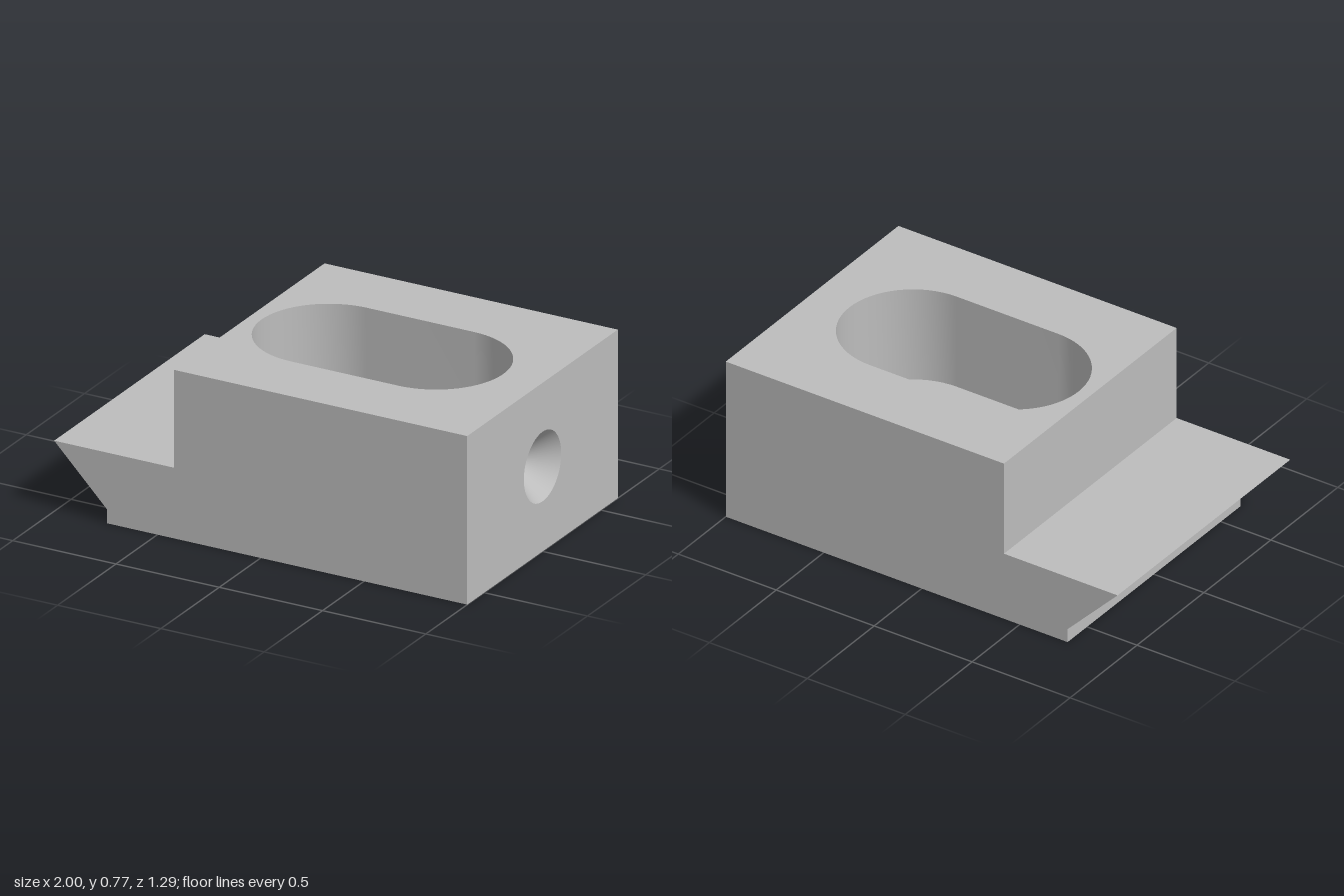
import * as THREE from 'three';

const HALF_Z = 0.645, TOP = 0.775, LEDGE = 0.325, BASE = 0.065;
const SLOT_X = 0.225, SLOT_HALF = 0.26; // slot centre and half distance between its arcs
const R_WIDE = 0.325, R_NARROW = 0.18;
const CONE_R = 0.16, CONE_Y = 0.39, CONE_DEPTH = 0.188;

// Left outline of the block, from the foot up to the top edge
const outline = [[-0.745, 0], [-0.745, BASE], [-1, LEDGE], [-0.42, LEDGE], [-0.42, TOP]];

const v2 = (x, y) => new THREE.Vector2(x, y);
const v3 = (x, y, z) => new THREE.Vector3(x, y, z);

// Counter-clockwise obround; the seam lies on a straight side
function slotPoints(r) {
  const pts = [v2(SLOT_X, -r)], n = 32;
  for (const [side, start] of [[1, -Math.PI / 2], [-1, Math.PI / 2]]) {
    for (let i = 0; i <= n; i++) {
      const a = start + Math.PI * i / n;
      pts.push(v2(SLOT_X + side * SLOT_HALF + r * Math.cos(a), r * Math.sin(a)));
    }
  }
  pts.push(v2(SLOT_X, -r));
  return pts;
}

// Flat face from an outline, with an optional hole
function panel(points, hole) {
  const shape = new THREE.Shape(points);
  if (hole) shape.holes.push(new THREE.Path(hole));
  return new THREE.ShapeGeometry(shape);
}

// Surface between two rows of points
function loft(a, b, flat = false) {
  const pos = [...a, ...b].flatMap(p => p.toArray()), index = [], n = a.length;
  for (let i = 0; i < n - 1; i++) index.push(i, n + i, n + i + 1, i, n + i + 1, i + 1);
  let g = new THREE.BufferGeometry();
  g.setAttribute('position', new THREE.Float32BufferAttribute(pos, 3));
  g.setIndex(index);
  if (flat) g = g.toNonIndexed();
  g.computeVertexNormals();
  return g;
}

const rect = (x0, y0, x1, y1) => [v2(x0, y0), v2(x1, y0), v2(x1, y1), v2(x0, y1)];

export function createModel() {
  const group = new THREE.Group();
  const metal = new THREE.MeshStandardMaterial({ color: 0xbcbcbc });
  metal.name = 'grey metal';
  const add = (name, geometry) => {
    const mesh = new THREE.Mesh(geometry, metal);
    mesh.name = name;
    group.add(mesh);
  };

  // Front and back profile faces
  const profile = [...outline, [1, TOP], [1, 0]];
  add('frontFace', panel(profile.map(p => v2(...p))).translate(0, 0, HALF_Z));
  add('backFace', panel(profile.map(([x, y]) => v2(-x, y))).rotateY(Math.PI).translate(0, 0, -HALF_Z));

  // Undercut lip, ledge and step
  add('lipAndStep', loft(outline.map(([x, y]) => v3(x, y, -HALF_Z)),
    outline.map(([x, y]) => v3(x, y, HALF_Z)), true));

  // Top, bottom and the shelf inside the stepped slot
  const wide = slotPoints(R_WIDE), narrow = slotPoints(R_NARROW);
  const shelfY = LEDGE;
  add('topFace', panel(rect(-0.42, -HALF_Z, 1, HALF_Z), wide).rotateX(-Math.PI / 2).translate(0, TOP, 0));
  add('slotShelf', panel(wide, narrow).rotateX(-Math.PI / 2).translate(0, shelfY, 0));
  add('bottomFace', panel(rect(-0.745, -HALF_Z, 1, HALF_Z), narrow).rotateX(Math.PI / 2));

  // Slot walls
  const ring = (pts, y) => pts.map(p => v3(p.x, y, -p.y));
  add('upperSlotWall', loft(ring(wide, shelfY), ring(wide, TOP)));
  add('lowerSlotWall', loft(ring(narrow, 0), ring(narrow, shelfY)));

  // End face with its conical recess
  const rim = Array.from({ length: 65 }, (_, i) => {
    const a = i / 64 * Math.PI * 2;
    return v3(1, CONE_Y + CONE_R * Math.cos(a), -CONE_R * Math.sin(a));
  });
  add('endFace', panel(rect(-HALF_Z, 0, HALF_Z, TOP), rim.map(p => v2(-p.z, p.y)))
    .rotateY(Math.PI / 2).translate(1, 0, 0));
  add('conicalRecess', loft(rim, rim.map(() => v3(1 - CONE_DEPTH, CONE_Y, 0))));

  return group;
}
